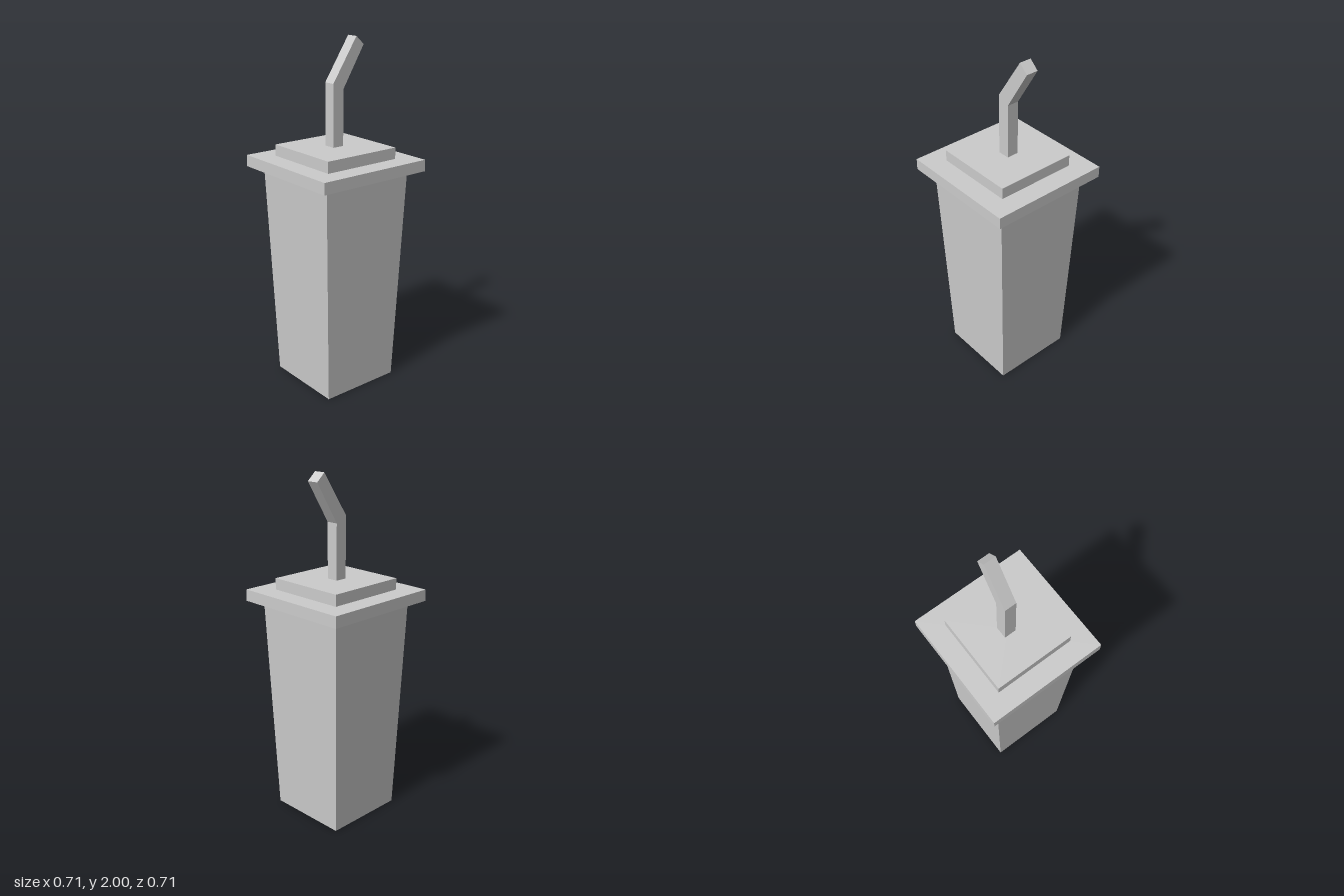
import * as THREE from 'three';

export function createModel() {
  const group = new THREE.Group();
  const material = new THREE.MeshStandardMaterial({ color: 0xcccccc, flatShading: true });

  const add = (name, geometry) => {
    const mesh = new THREE.Mesh(geometry, material);
    mesh.name = name;
    group.add(mesh);
  };

  // Square block, given half widths at top and bottom
  const block = (name, topHalf, bottomHalf, y0, y1) => {
    const g = new THREE.CylinderGeometry(topHalf * Math.SQRT2, bottomHalf * Math.SQRT2, y1 - y0, 4);
    g.rotateY(Math.PI / 4);
    g.translate(0, (y0 + y1) / 2, 0);
    add(name, g);
  };

  block('cup', 0.285, 0.241, 0, 1.275);
  block('lidRim', 0.354, 0.354, 1.275, 1.341);
  block('lidTop', 0.237, 0.237, 1.341, 1.406);

  // Bent straw: side profile (z, y) extruded across x
  const profile = new THREE.Shape([
    [-0.036, 1.4], [0.034, 1.4], [0.034, 1.758], [-0.126, 2], [-0.178, 1.953], [-0.036, 1.722],
  ].map(([z, y]) => new THREE.Vector2(z, y)));
  const straw = new THREE.ExtrudeGeometry(profile, { depth: 0.07, bevelEnabled: false });
  straw.rotateY(-Math.PI / 2);
  straw.translate(0.028, 0, 0);
  add('straw', straw);

  return group;
}
